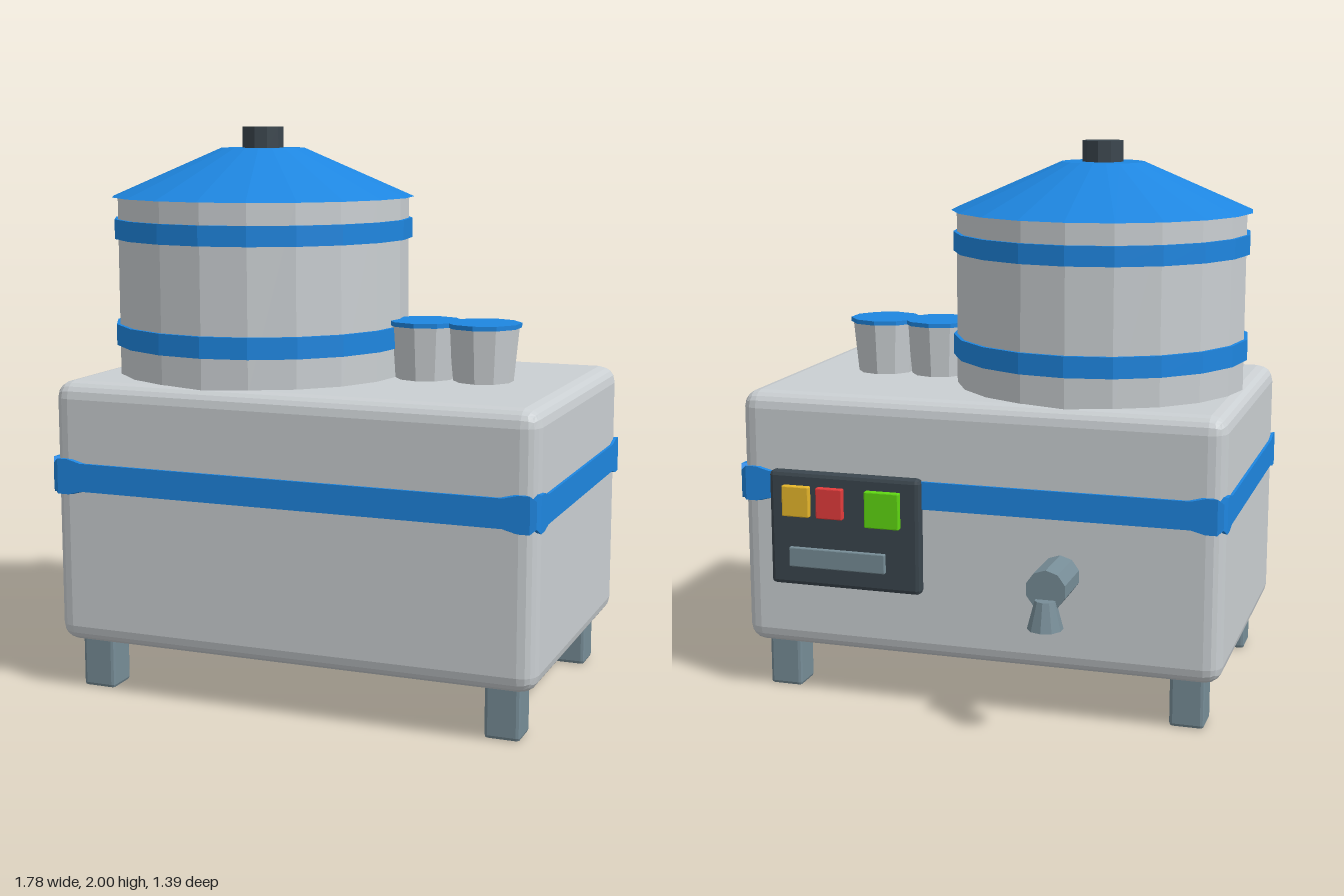
import * as THREE from 'three';
import { RoundedBoxGeometry } from 'three/addons/geometries/RoundedBoxGeometry.js';

const makeMaterial = (name, color) => {
  const m = new THREE.MeshStandardMaterial({ color, flatShading: true });
  m.name = name;
  return m;
};

// Rectangular belt whose height swells near each corner
function beltGeometry(halfX, halfZ) {
  const corner = [ // inset along x, inset along z, half height
    [0.0, 0.12, 0.05], [0.0, 0.07, 0.063], [0.0, 0.03, 0.063], [0.01, 0.01, 0.045],
    [0.03, 0.0, 0.063], [0.07, 0.0, 0.063], [0.12, 0.0, 0.05],
  ];
  const loop = [];
  for (const [sx, sz] of [[1, 1], [-1, 1], [-1, -1], [1, -1]]) {
    const pts = corner.map(([ix, iz, h]) => [sx * (halfX - ix), sz * (halfZ - iz), h]);
    if (sx * sz < 0) pts.reverse();
    loop.push(...pts);
  }
  const pos = [], index = [], n = loop.length;
  for (const [x, z, h] of loop) {
    pos.push(x * 0.92, h, z * 0.92, x, h, z, x, -h, z, x * 0.92, -h, z * 0.92);
  }
  for (let i = 0; i < n; i++) {
    const a = i * 4, b = ((i + 1) % n) * 4;
    for (let k = 0; k < 3; k++) {
      index.push(a + k, b + k, a + k + 1, b + k, b + k + 1, a + k + 1);
    }
  }
  const g = new THREE.BufferGeometry();
  g.setAttribute('position', new THREE.Float32BufferAttribute(pos, 3));
  g.setIndex(index);
  g.computeVertexNormals();
  return g;
}

export function createModel() {
  const model = new THREE.Group();
  model.name = 'dispenserMachine';

  const shell = makeMaterial('lightGrey', 0xcacfd2);
  const blue = makeMaterial('blue', 0x1e86e0);
  const steel = makeMaterial('steelGrey', 0x778d97);
  const dark = makeMaterial('charcoal', 0x3b464e);
  const red = makeMaterial('red', 0xe53c3c);
  const yellow = makeMaterial('yellow', 0xf2c02d);
  const green = makeMaterial('green', 0x60d812);
  const beltBlue = blue.clone();
  beltBlue.side = THREE.DoubleSide;

  const add = (name, geometry, material, x, y, z) => {
    const mesh = new THREE.Mesh(geometry, material);
    mesh.name = name;
    mesh.position.set(x, y, z);
    model.add(mesh);
    return mesh;
  };
  // Upright cylinder given by its bottom and top heights
  const drum = (name, rTop, rBottom, y0, y1, sides, material, x, z) =>
    add(name, new THREE.CylinderGeometry(rTop, rBottom, y1 - y0, sides), material, x, (y0 + y1) / 2, z);
  // Bevelled box given by its limits
  const block = (name, x0, x1, y0, y1, z0, z1, bevel, material) =>
    add(name, new RoundedBoxGeometry(x1 - x0, y1 - y0, z1 - z0, 1, bevel), material,
      (x0 + x1) / 2, (y0 + y1) / 2, (z0 + z1) / 2);

  // Cabinet and belt
  const cz = 0.12;
  add('cabinet', new RoundedBoxGeometry(1.76, 0.94, 1.13, 2, 0.06), shell, 0, 0.65, cz);
  add('cabinetBelt', beltGeometry(0.89, 0.575), beltBlue, 0, 0.785, cz);

  // Feet
  for (const x of [-0.755, 0.755]) {
    for (const z of [-0.32, 0.56]) {
      block('foot', x - 0.062, x + 0.062, 0, 0.2, z - 0.062, z + 0.062, 0.013, steel);
    }
  }

  // Tank with hoops, lid and knob
  const tx = -0.315;
  drum('tank', 0.528, 0.528, 1.11, 1.755, 20, shell, tx, cz);
  drum('lowerHoop', 0.541, 0.541, 1.225, 1.3, 20, blue, tx, cz);
  drum('upperHoop', 0.541, 0.541, 1.605, 1.675, 20, blue, tx, cz);
  drum('lid', 0.151, 0.548, 1.752, 1.925, 20, blue, tx, cz);
  drum('knob', 0.074, 0.074, 1.92, 2.0, 10, dark, tx, cz);

  // Cups with caps
  for (const x of [0.31, 0.525]) {
    drum('cup', 0.125, 0.106, 1.115, 1.312, 10, shell, x, 0.118);
    drum('cupCap', 0.133, 0.133, 1.309, 1.325, 10, blue, x, 0.118);
  }

  // Control panel on the back
  block('controlPanel', 0.187, 0.757, 0.425, 0.845, -0.483, -0.43, 0.016, dark);
  block('yellowButton', 0.597, 0.7, 0.685, 0.797, -0.505, -0.475, 0.004, yellow);
  block('redButton', 0.47, 0.57, 0.685, 0.797, -0.505, -0.475, 0.004, red);
  block('greenButton', 0.257, 0.386, 0.665, 0.797, -0.505, -0.475, 0.004, green);
  block('display', 0.314, 0.679, 0.498, 0.57, -0.498, -0.475, 0.004, steel);

  // Tap on the back
  const pipe = add('tapPipe', new THREE.CylinderGeometry(0.071, 0.071, 0.205, 10), steel, tx, 0.537, -0.5325);
  pipe.rotation.x = Math.PI / 2;
  drum('tapSpout', 0.036, 0.062, 0.405, 0.505, 10, steel, tx, -0.637);

  return model;
}
